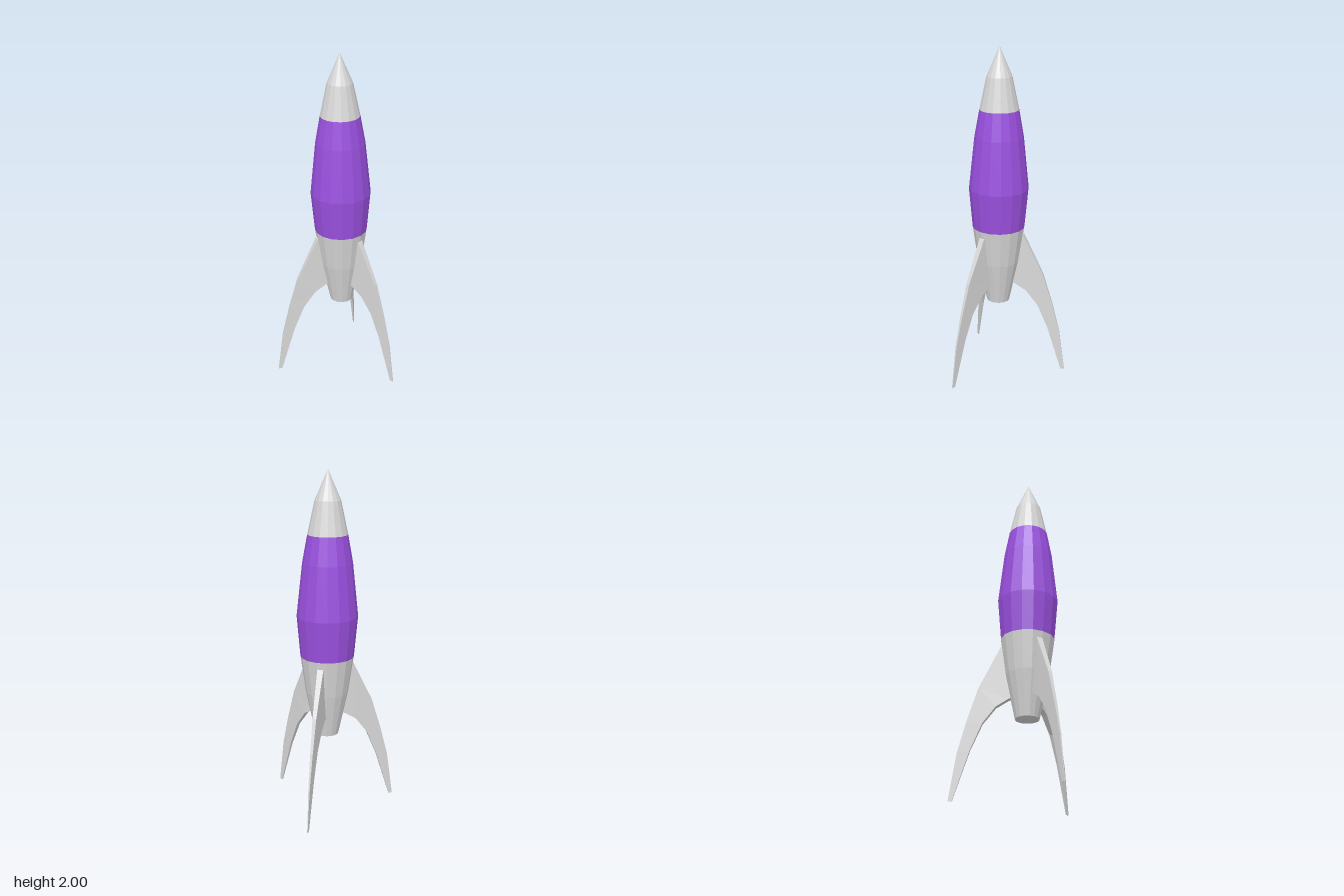
import * as THREE from 'three';

const AXIS_X = -0.106; // three fins make the bounds lopsided, so the hull sits off centre

const grey = new THREE.MeshStandardMaterial({ color: 0xd9d9d9 });
grey.name = 'light grey';
const purple = new THREE.MeshStandardMaterial({ color: 0x9b51e0 });
purple.name = 'purple';

// Unshared corners give flat facets
function faceted(geometry) {
  const flat = geometry.index ? geometry.toNonIndexed() : geometry;
  flat.computeVertexNormals();
  return flat;
}

// Sixteen-sided hull section from [radius, height] pairs, bottom to top
function hullSection(name, profile, material) {
  const points = profile.map(([r, y]) => new THREE.Vector2(r, y));
  const mesh = new THREE.Mesh(faceted(new THREE.LatheGeometry(points, 16)), material);
  mesh.name = name;
  return mesh;
}

// Swept fin along +x: pairs of outer and inner edge points, thinning outwards
function finGeometry() {
  const rows = [
    [[0.13, 0.893], [0.085, 0.575]],
    [[0.152, 0.888], [0.105, 0.568]],
    [[0.275, 0.64], [0.175, 0.525]],
    [[0.335, 0.45], [0.248, 0.43]],
    [[0.384, 0.265], [0.312, 0.28]],
    [[0.423, 0], [0.4, 0]],
  ];
  const halfThickness = (r) => {
    const t = THREE.MathUtils.clamp((r - 0.15) / 0.275, 0, 1);
    return 0.001 + 0.017 * Math.pow(1 - t, 0.85);
  };
  const positions = [];
  const index = [];
  // Each cross-section: outer front, inner front, inner back, outer back
  for (const [[ro, yo], [ri, yi]] of rows) {
    const to = halfThickness(ro), ti = halfThickness(ri);
    positions.push(ro, yo, to, ri, yi, ti, ri, yi, -ti, ro, yo, -to);
  }
  for (let i = 0; i < rows.length - 1; i++) {
    for (let k = 0; k < 4; k++) {
      const a = i * 4 + k, b = i * 4 + ((k + 1) % 4);
      index.push(a, b, b + 4, a, b + 4, a + 4);
    }
  }
  const e = (rows.length - 1) * 4;
  index.push(0, 2, 1, 0, 3, 2, e, e + 1, e + 2, e, e + 2, e + 3);
  const geometry = new THREE.BufferGeometry();
  geometry.setAttribute('position', new THREE.Float32BufferAttribute(positions, 3));
  geometry.setIndex(index);
  return faceted(geometry);
}

export function createModel() {
  const rocket = new THREE.Group();
  rocket.name = 'rocket';
  rocket.position.x = AXIS_X;

  // Hull
  rocket.add(
    hullSection('tail', [[0, 0.45], [0.069, 0.45], [0.124, 0.71], [0.156, 0.93]], grey),
    hullSection('midBody', [[0.156, 0.93], [0.177, 1.17], [0.144, 1.48], [0.115, 1.64]], purple),
    hullSection('noseCone', [[0.115, 1.64], [0.074, 1.83], [0, 2]], grey),
  );

  // Three fins, evenly spaced
  const geometry = finGeometry();
  for (let i = 0; i < 3; i++) {
    const fin = new THREE.Mesh(geometry, grey);
    fin.name = 'fin' + (i + 1);
    fin.rotation.y = (i * Math.PI * 2) / 3;
    rocket.add(fin);
  }

  const model = new THREE.Group();
  model.name = 'model';
  model.add(rocket);
  return model;
}
